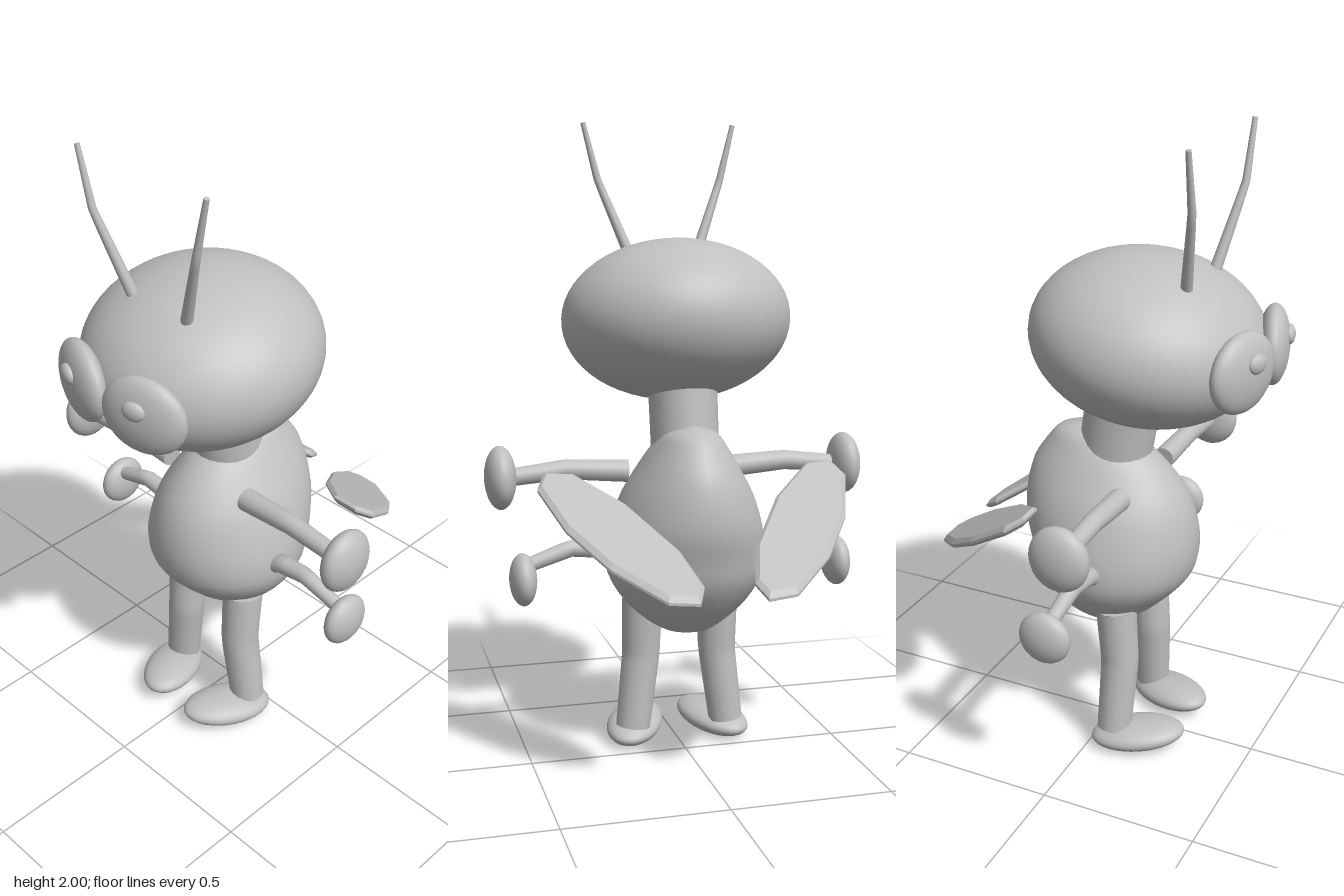
import * as THREE from 'three';

const grey = new THREE.MeshStandardMaterial({ color: 0xc0c0c0 });
grey.name = 'plain grey';

function add(parent, name, geometry) {
  const mesh = new THREE.Mesh(geometry, grey);
  mesh.name = name;
  parent.add(mesh);
  return mesh;
}

function ellipsoid(parent, name, pos, radii, rot = [0, 0, 0], seg = 32) {
  const mesh = add(parent, name, new THREE.SphereGeometry(1, seg, Math.round(seg * 0.6)));
  mesh.position.set(...pos);
  mesh.scale.set(...radii);
  mesh.rotation.set(rot[0], rot[1], rot[2], 'YXZ');
  return mesh;
}

// Jointed limb through points [x, y, z], tapering from r0 to r1, with flat ends
function limb(parent, name, side, points, r0, r1) {
  const pts = points.map(([x, y, z]) => new THREE.Vector3(side * x, y, z));
  const path = new THREE.CurvePath();
  for (let i = 1; i < pts.length; i++) path.add(new THREE.LineCurve3(pts[i - 1], pts[i]));
  const n = 10, sides = 14;
  const geo = new THREE.TubeGeometry(path, n, 1, sides);
  const pos = geo.attributes.position, v = new THREE.Vector3();
  for (let i = 0; i <= n; i++) {
    const c = path.getPointAt(i / n), r = r0 + (r1 - r0) * i / n;
    for (let j = 0; j <= sides; j++) {
      const k = i * (sides + 1) + j;
      v.fromBufferAttribute(pos, k).sub(c).multiplyScalar(r).add(c);
      pos.setXYZ(k, v.x, v.y, v.z);
    }
  }
  add(parent, name, geo);
  for (const [t, r, dir] of [[0, r0, -1], [1, r1, 1]]) {
    const cap = add(parent, name + 'End', new THREE.CircleGeometry(r, sides));
    const p = path.getPointAt(t);
    cap.position.copy(p);
    cap.lookAt(p.clone().addScaledVector(path.getTangentAt(t), dir));
  }
}

// Egg-shaped body: smooth loft through oval rings [y, zCentre, halfWidth, halfDepth]
function bodyGeometry() {
  const rings = [
    [0.40, -0.01, 0, 0], [0.415, -0.01, 0.075, 0.075], [0.45, 0, 0.135, 0.13],
    [0.51, 0.005, 0.198, 0.19], [0.59, 0.012, 0.245, 0.25], [0.67, 0.01, 0.25, 0.272],
    [0.76, -0.005, 0.232, 0.282], [0.85, -0.018, 0.2, 0.268], [0.93, -0.035, 0.155, 0.232],
    [1.00, -0.05, 0.112, 0.172], [1.045, -0.075, 0.075, 0.105], [1.07, -0.09, 0, 0],
  ];
  const shape = new THREE.CatmullRomCurve3(rings.map(([y, z, w]) => new THREE.Vector3(w, y, z)));
  const depth = new THREE.CatmullRomCurve3(rings.map(([y, , , d]) => new THREE.Vector3(d, y, 0)));
  const n = 33, sides = 36, verts = [], index = [];
  for (let i = 0; i <= n; i++) {
    const a = shape.getPoint(i / n), d = depth.getPoint(i / n).x;
    for (let j = 0; j < sides; j++) {
      const t = j / sides * Math.PI * 2;
      verts.push(a.x * Math.sin(t), a.y, a.z + d * Math.cos(t));
      if (i === n) continue;
      const p = i * sides + j, q = i * sides + (j + 1) % sides;
      index.push(p, q, q + sides, p, q + sides, p + sides);
    }
  }
  const geo = new THREE.BufferGeometry();
  geo.setAttribute('position', new THREE.Float32BufferAttribute(verts, 3));
  geo.setIndex(index);
  geo.computeVertexNormals();
  return geo;
}

// Faceted wing plate: outline in plan, sloped down towards the back
function wingGeometry(side) {
  const outline = [
    [0.46, -0.065], [0.488, -0.12], [0.43, -0.27], [0.33, -0.405], [0.19, -0.522],
    [0.1, -0.532], [0.075, -0.48], [0.115, -0.36], [0.235, -0.19], [0.37, -0.072],
  ].map(([x, z]) => new THREE.Vector2(side * x, z));
  const geo = new THREE.ExtrudeGeometry(new THREE.Shape(outline), {
    depth: 0.008, bevelEnabled: true, bevelThickness: 0.012, bevelSize: 0.012,
    bevelOffset: -0.012, bevelSegments: 1,
  });
  geo.rotateX(Math.PI / 2);
  const pos = geo.attributes.position;
  for (let i = 0; i < pos.count; i++) {
    pos.setY(i, pos.getY(i) + 0.935 + 0.65 * (pos.getZ(i) + 0.065));
  }
  geo.computeVertexNormals();
  return geo;
}

export function createModel() {
  const model = new THREE.Group();
  model.name = 'insect';

  // Head, neck and body
  ellipsoid(model, 'head', [0, 1.38, 0.118], [0.362, 0.254, 0.362], [0.14, 0, 0], 48);
  const neck = add(model, 'neck', new THREE.CylinderGeometry(0.108, 0.106, 0.24, 24));
  neck.position.set(0, 1.1, 0.025);
  neck.rotation.x = 0.15;
  neck.scale.z = 1.1;
  add(model, 'body', bodyGeometry());

  for (const s of [1, -1]) {
    const label = s > 0 ? 'left' : 'right';
    const half = new THREE.Group();
    half.name = label + 'Side';
    model.add(half);

    // Eye and pupil
    ellipsoid(half, label + 'Eye', [s * 0.131, 1.364, 0.463], [0.134, 0.121, 0.05], [0, s * 0.3, 0]);
    ellipsoid(half, label + 'Pupil', [s * 0.138, 1.4, 0.509], [0.037, 0.03, 0.018], [0, s * 0.3, 0], 20);

    // Antenna
    limb(half, label + 'Antenna', s,
      [[0.11, 1.575, 0.28], [0.205, 1.82, 0.33], [0.25, 2.0, 0.334]], 0.018, 0.008);

    // Upper arm and hand
    limb(half, label + 'UpperArm', s,
      [[0.165, 0.905, 0.1], [0.36, 0.917, 0.105], [0.56, 0.897, 0.105]], 0.036, 0.027);
    ellipsoid(half, label + 'UpperHand', [s * 0.568, 0.9, 0.103], [0.049, 0.1, 0.094], [0, 0, 0], 24);

    // Lower arm and hand
    limb(half, label + 'LowerArm', s,
      [[0.2, 0.645, 0.04], [0.26, 0.672, 0.038], [0.36, 0.68, 0.035], [0.51, 0.63, 0.03]], 0.032, 0.022);
    ellipsoid(half, label + 'LowerHand', [s * 0.514, 0.592, 0.022], [0.042, 0.082, 0.083], [0, 0, 0], 24);

    // Leg and inward-turned foot
    limb(half, label + 'Leg', s,
      [[0.125, 0.5, 0.07], [0.127, 0.31, 0.085], [0.156, 0.07, 0.078]], 0.066, 0.056);
    ellipsoid(half, label + 'Foot', [s * 0.133, 0.051, 0.153], [0.089, 0.045, 0.152], [-0.1, s * -0.41, 0]);

    // Wing
    add(half, label + 'Wing', wingGeometry(s));
  }
  return model;
}
